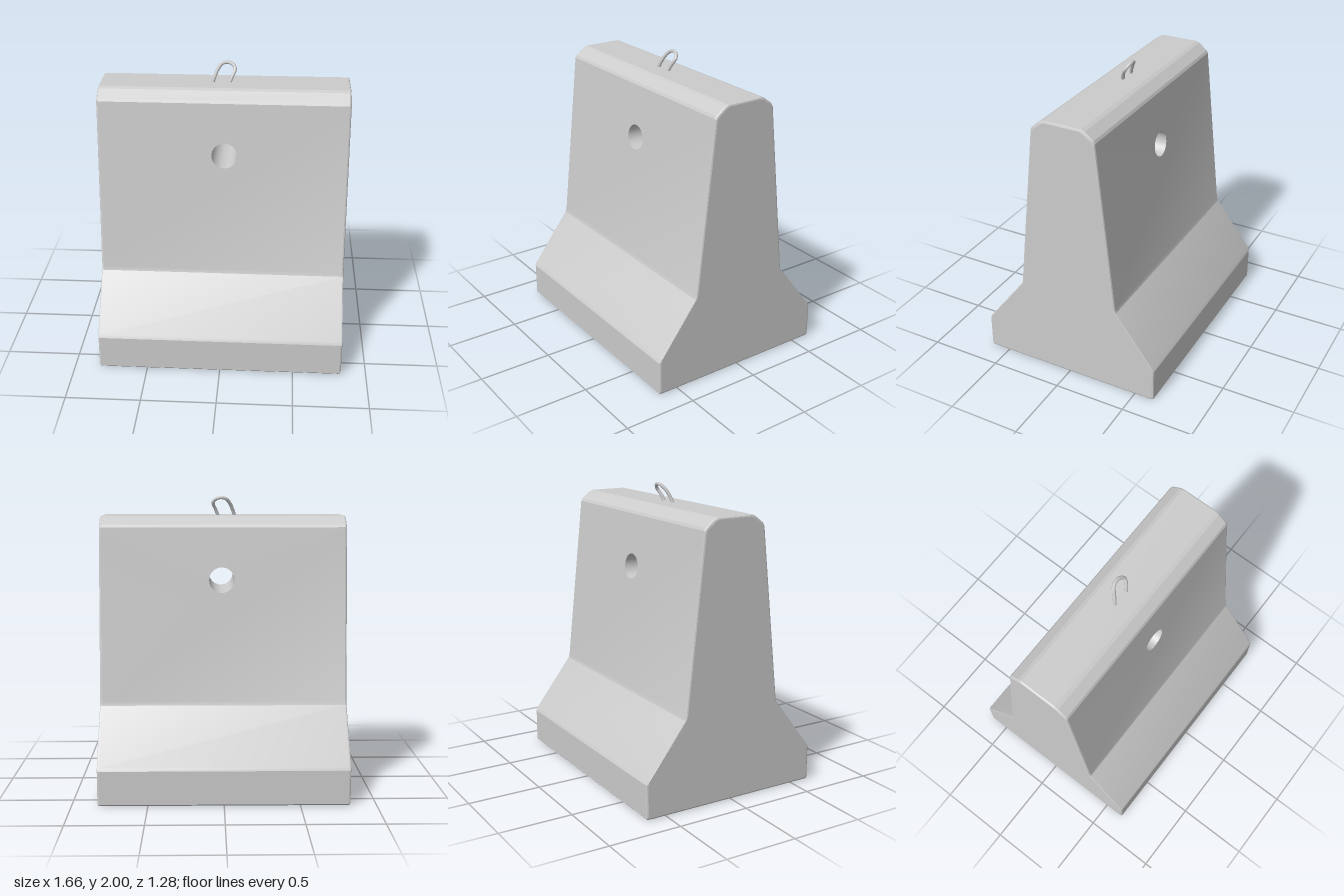
import * as THREE from 'three';
import { toCreasedNormals } from 'three/addons/utils/BufferGeometryUtils.js';

const HALF_LENGTH = 0.83, HEIGHT = 1.87, EDGE = 0.012;
const HOLE = { x: 0.01, y: 1.445, r: 0.085, sides: 32 };

// One side of the cross-section, [half depth, height], bottom to top
const side = [
  [0.63, 0], [0.64, 0.01], [0.64, 0.235], [0.63, 0.255],
  [0.36, 0.61], [0.352, 0.635],
  [0.225, 1.795], [0.215, 1.813], [0.155, 1.86], [0.13, HEIGHT],
];
const WALL = 5; // index of the tall wall band, which carries the hole

function barrierGeometry() {
  const pos = [];
  const quad = (a, b, c, d) => pos.push(...a, ...b, ...c, ...a, ...c, ...d);

  // Closed ring of corners at x; inset rings make the softened end edges
  const ring = (x, inset) => {
    const half = side.map(([z, y]) => [z - inset, inset + y * (HEIGHT - 2 * inset) / HEIGHT]);
    return [
      ...half.map(([z, y]) => [x, y, z]),
      ...half.slice().reverse().map(([z, y]) => [x, y, -z]),
    ];
  };
  const inner = HALF_LENGTH - EDGE;
  const rings = [
    ring(-HALF_LENGTH, EDGE), ring(-HALF_LENGTH + EDGE * 0.3, EDGE * 0.3), ring(-inner, 0),
    ring(inner, 0), ring(HALF_LENGTH - EDGE * 0.3, EDGE * 0.3), ring(HALF_LENGTH, EDGE),
  ];
  const n = side.length * 2;

  // Skin along the length, leaving the two tall walls open
  for (let s = 0; s < rings.length - 1; s++) {
    const a = rings[s], b = rings[s + 1];
    for (let i = 0; i < n; i++) {
      const j = (i + 1) % n;
      if (s === 2 && (i === WALL || i === n - 2 - WALL)) continue;
      quad(a[i], b[i], b[j], a[j]);
    }
  }

  // End faces, filled in level strips
  const left = rings[rings.length - 1], right = rings[0];
  for (let i = 0; i < side.length - 1; i++) {
    quad(left[i], left[n - 1 - i], left[n - 2 - i], left[i + 1]);
    quad(right[i + 1], right[n - 2 - i], right[n - 1 - i], right[i]);
  }

  // Sloping walls with the round opening
  const [z0, y0] = side[WALL], [z1, y1] = side[WALL + 1];
  const depthAt = (y) => z0 + (z1 - z0) * (y - y0) / (y1 - y0);
  const circle = (cx) => Array.from({ length: HOLE.sides }, (_, i) => {
    const t = i / HOLE.sides * Math.PI * 2;
    return new THREE.Vector2(cx + HOLE.r * Math.cos(t), HOLE.y + HOLE.r * Math.sin(t));
  });
  for (const f of [1, -1]) {
    const wall = new THREE.Shape([
      new THREE.Vector2(-inner, y0), new THREE.Vector2(inner, y0),
      new THREE.Vector2(inner, y1), new THREE.Vector2(-inner, y1),
    ]);
    wall.holes.push(new THREE.Path(circle(HOLE.x * f)));
    const p = new THREE.ShapeGeometry(wall).toNonIndexed().attributes.position;
    for (let i = 0; i < p.count; i++) {
      pos.push(p.getX(i) * f, p.getY(i), depthAt(p.getY(i)) * f);
    }
  }

  // Lining of the through hole
  const rim = circle(HOLE.x);
  rim.forEach((p, i) => {
    const q = rim[(i + 1) % rim.length];
    const zp = depthAt(p.y), zq = depthAt(q.y);
    quad([p.x, p.y, zp], [q.x, q.y, zq], [q.x, q.y, -zq], [p.x, p.y, -zp]);
  });

  const geometry = new THREE.BufferGeometry();
  geometry.setAttribute('position', new THREE.Float32BufferAttribute(pos, 3));
  return toCreasedNormals(geometry, 0.25);
}

export function createModel() {
  const group = new THREE.Group();
  group.name = 'concreteBarrier';
  const material = new THREE.MeshStandardMaterial({ color: 0xcccccc });

  const body = new THREE.Mesh(barrierGeometry(), material);
  body.name = 'barrierBody';
  group.add(body);

  // Bent steel lifting loop, leaning backwards
  const path = new THREE.CatmullRomCurve3([
    [-0.085, 1.85, 0.012], [-0.073, 1.89, 0.004], [-0.048, 1.95, -0.022],
    [-0.018, 1.983, -0.044], [0.03, 1.987, -0.047], [0.067, 1.957, -0.028],
    [0.05, 1.91, -0.002], [0.025, 1.85, 0.014],
  ].map((p) => new THREE.Vector3(...p)));
  const loop = new THREE.Mesh(new THREE.TubeGeometry(path, 16, 0.012, 8), material);
  loop.name = 'liftingLoop';
  group.add(loop);

  return group;
}
